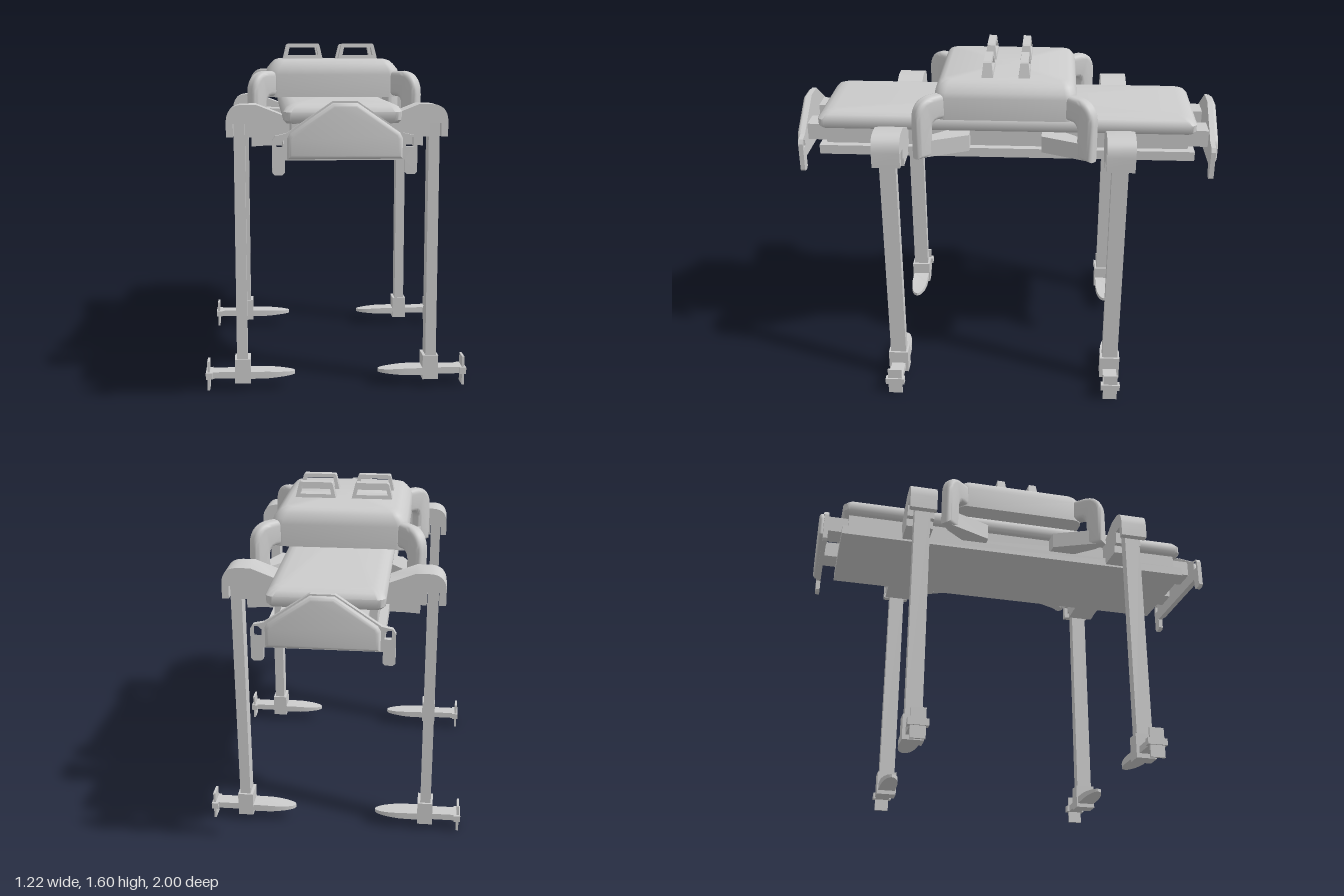
import * as THREE from 'three';
import { toCreasedNormals } from 'three/addons/utils/BufferGeometryUtils.js';

const mat = new THREE.MeshStandardMaterial({ color: 0xcccccc });

function add(parent, name, geometry) {
  const mesh = new THREE.Mesh(geometry, mat);
  mesh.name = name;
  parent.add(mesh);
  return mesh;
}

// Box given by its minimum and maximum corners
function box(parent, name, [x0, y0, z0], [x1, y1, z1]) {
  const g = new THREE.BoxGeometry(x1 - x0, y1 - y0, z1 - z0);
  return add(parent, name, g.translate((x0 + x1) / 2, (y0 + y1) / 2, (z0 + z1) / 2));
}

const shapeOf = (pts) => new THREE.Shape(pts.map(([x, y]) => new THREE.Vector2(x, y)));
const mirrored = (half) => [...half, ...half.map(([x, y]) => [-x, y]).reverse()];

// Extrusion centred on z = 0, optionally bevelled inside its outline
function slab(shape, depth, bevel = 0) {
  const g = new THREE.ExtrudeGeometry(shape, {
    depth: depth - 2 * bevel, bevelEnabled: bevel > 0, bevelSize: bevel,
    bevelThickness: bevel, bevelOffset: -bevel, bevelSegments: 4, curveSegments: 10,
  });
  return g.translate(0, 0, -(depth / 2 - bevel));
}

// Stack of rounded rectangles: [y, half width, half length, corner radius]
function cushion(sections) {
  const n = 6, ring = 4 * (n + 1), pos = [], idx = [];
  for (const [y, w, l, r] of sections) {
    for (let c = 0; c < 4; c++) {
      const sx = c === 0 || c === 3 ? 1 : -1, sz = c < 2 ? 1 : -1;
      for (let i = 0; i <= n; i++) {
        const a = (c + i / n) * Math.PI / 2;
        pos.push(sx * (w - r) + r * Math.cos(a), y, sz * (l - r) + r * Math.sin(a));
      }
    }
  }
  const last = sections.length - 1;
  for (let s = 0; s < last; s++) {
    for (let i = 0; i < ring; i++) {
      const a = s * ring + i, b = s * ring + (i + 1) % ring;
      idx.push(a, a + ring, b, b, a + ring, b + ring);
    }
  }
  const bottom = pos.length / 3, top = bottom + 1;
  pos.push(0, sections[0][0], 0, 0, sections[last][0], 0);
  for (let i = 0; i < ring; i++) {
    const j = (i + 1) % ring;
    idx.push(bottom, i, j, top, last * ring + j, last * ring + i);
  }
  const g = new THREE.BufferGeometry();
  g.setAttribute('position', new THREE.Float32BufferAttribute(pos, 3));
  g.setIndex(idx);
  return toCreasedNormals(g, 0.8);
}

// End plate with a raised centre, two drop tabs and the bars that hold it
function endPlate() {
  const group = new THREE.Group();
  group.name = 'endPlate';
  const outline = shapeOf(mirrored([
    [0.05, 1.36], [0.24, 1.23], [0.285, 1.22], [0.297, 1.2], [0.297, 1.07],
    [0.287, 1.06], [0.255, 1.06], [0.245, 1.07], [0.245, 1.12],
  ]));
  for (const s of [-1, 1]) {
    const hole = new THREE.Path();
    hole.setFromPoints([[0.25, 1.175], [0.28, 1.175], [0.28, 1.213], [0.265, 1.213], [0.25, 1.2]]
      .map(([x, y]) => new THREE.Vector2(s * x, y)));
    outline.holes.push(hole);
  }
  add(group, 'plate', slab(outline, 0.022).translate(0, 0, 0.969));
  const panel = shapeOf(mirrored([[0.05, 1.353], [0.225, 1.232], [0.236, 1.21], [0.236, 1.125]]));
  add(group, 'raisedPanel', toCreasedNormals(slab(panel, 0.04, 0.018), 0.7).translate(0, 0, 0.98));
  for (const s of [-1, 1]) {
    box(group, 'connector', [s * 0.127 - 0.055, 1.18, 0.84], [s * 0.127 + 0.055, 1.26, 0.962]);
  }
  return group;
}

// Leg with its hooked shoulder bracket and foot, for the +x side, centred on z = 0
function legAssembly() {
  const group = new THREE.Group();
  group.name = 'legAssembly';
  const s = new THREE.Shape();
  s.moveTo(0.21, 1.145);
  s.lineTo(0.31, 1.145);
  s.lineTo(0.385, 1.14);
  s.lineTo(0.385, 1.18);
  s.lineTo(0.413, 1.18);
  s.lineTo(0.413, 1.24);
  s.lineTo(0.467, 1.24);
  s.lineTo(0.467, 1.18);
  s.lineTo(0.498, 1.18);
  s.lineTo(0.498, 1.25);
  s.quadraticCurveTo(0.495, 1.325, 0.42, 1.325);
  s.lineTo(0.365, 1.325);
  s.lineTo(0.25, 1.28);
  s.lineTo(0.21, 1.28);
  add(group, 'shoulderBracket', toCreasedNormals(slab(s, 0.13), 0.5));
  box(group, 'leg', [0.415, 0.14, -0.038], [0.465, 1.24, 0.038]);
  box(group, 'ankleCollar', [0.402, 0.035, -0.048], [0.475, 0.15, 0.048]);
  box(group, 'footBar', [0.47, 0.056, -0.034], [0.6, 0.087, 0.034]);
  box(group, 'heelBar', [0.578, 0.056, -0.046], [0.61, 0.087, 0.046]);
  box(group, 'heelPlate', [0.592, 0, -0.034], [0.603, 0.137, 0.034]);

  // Toe blade thins towards its rounded tip
  const toe = new THREE.Shape();
  toe.moveTo(0.41, -0.042);
  toe.lineTo(0.41, 0.042);
  toe.lineTo(0.32, 0.042);
  toe.bezierCurveTo(0.26, 0.04, 0.195, 0.025, 0.195, 0);
  toe.bezierCurveTo(0.195, -0.025, 0.26, -0.04, 0.32, -0.042);
  const g = slab(toe, 0.034).rotateX(Math.PI / 2);
  const p = g.attributes.position;
  for (let i = 0; i < p.count; i++) {
    const t = Math.min(1, (p.getX(i) - 0.195) / 0.14);
    p.setY(i, 0.071 + p.getY(i) * (0.45 + 0.55 * t));
  }
  add(group, 'toeBlade', toCreasedNormals(g, 0.5));
  return group;
}

// Raised cover with four diagonal corner struts and their base feet
function saddle() {
  const group = new THREE.Group();
  group.name = 'saddle';
  add(group, 'cover', cushion([
    [1.345, 0.312, 0.325, 0.05], [1.45, 0.315, 0.327, 0.05], [1.475, 0.308, 0.323, 0.05],
    [1.5, 0.288, 0.312, 0.045], [1.515, 0.272, 0.3, 0.04], [1.523, 0.25, 0.28, 0.035],
  ]));
  const strut = new THREE.Shape();
  strut.moveTo(-0.07, 1.35);
  strut.lineTo(-0.07, 1.465);
  strut.lineTo(0.07, 1.468);
  strut.bezierCurveTo(0.13, 1.465, 0.165, 1.43, 0.165, 1.36);
  strut.lineTo(0.165, 1.18);
  strut.lineTo(0.075, 1.18);
  strut.lineTo(0.075, 1.31);
  strut.quadraticCurveTo(0.075, 1.35, 0.04, 1.35);
  for (const sx of [-1, 1]) for (const sz of [-1, 1]) {
    const m = add(group, 'cornerStrut', toCreasedNormals(slab(strut, 0.062, 0.022), 0.8));
    m.position.set(sx * 0.28, 0, sz * 0.29);
    m.rotation.y = -Math.atan2(sz * 0.74, sx * 0.67);
    const foot = shapeOf([[0.385, 0.385], [0.36, 0.41], [0.32, 0.38], [0.21, 0.25], [0.21, 0.17], [0.29, 0.17]]
      .map(([x, z]) => [sx * x, sz * z]));
    add(group, 'strutFoot', slab(foot, 0.08).rotateX(Math.PI / 2).translate(0, 1.222, 0));
  }
  // Grab handles
  const frame = shapeOf(mirrored([[0.098, 1.515], [0.08, 1.59], [0.074, 1.596]]));
  const hole = mirrored([[0.074, 1.54], [0.066, 1.578]]);
  frame.holes.push(new THREE.Path(hole.map(([x, y]) => new THREE.Vector2(x, y))));
  for (const sx of [-1, 1]) for (const sz of [-1, 1]) {
    const g = slab(frame, 0.056);
    const p = g.attributes.position;
    for (let i = 0; i < p.count; i++) {
      p.setZ(i, p.getZ(i) * (1 - 0.35 * (p.getY(i) - 1.515) / 0.08));
    }
    g.computeVertexNormals();
    add(group, 'handle', g).position.set(sx * 0.134, 0, sz * 0.085);
  }
  return group;
}

export function createModel() {
  const model = new THREE.Group();
  model.name = 'walkingBench';

  // Long deck: base plate, recessed core and padded top
  box(model, 'basePlate', [-0.25, 1.135, -0.89], [0.25, 1.18, 0.89]);
  box(model, 'core', [-0.215, 1.175, -0.86], [0.215, 1.268, 0.86]);
  add(model, 'pad', cushion([
    [1.262, 0.235, 0.88, 0.03], [1.275, 0.248, 0.892, 0.035], [1.31, 0.25, 0.893, 0.035],
    [1.33, 0.237, 0.875, 0.035], [1.341, 0.215, 0.85, 0.03], [1.345, 0.195, 0.82, 0.03],
  ]));

  model.add(saddle());
  for (const turn of [0, Math.PI]) {
    const end = endPlate();
    end.rotation.y = turn;
    model.add(end);
    for (const z of [-0.53, 0.53]) {
      const leg = legAssembly();
      leg.rotation.y = turn;
      leg.position.z = z;
      model.add(leg);
    }
  }
  return model;
}
